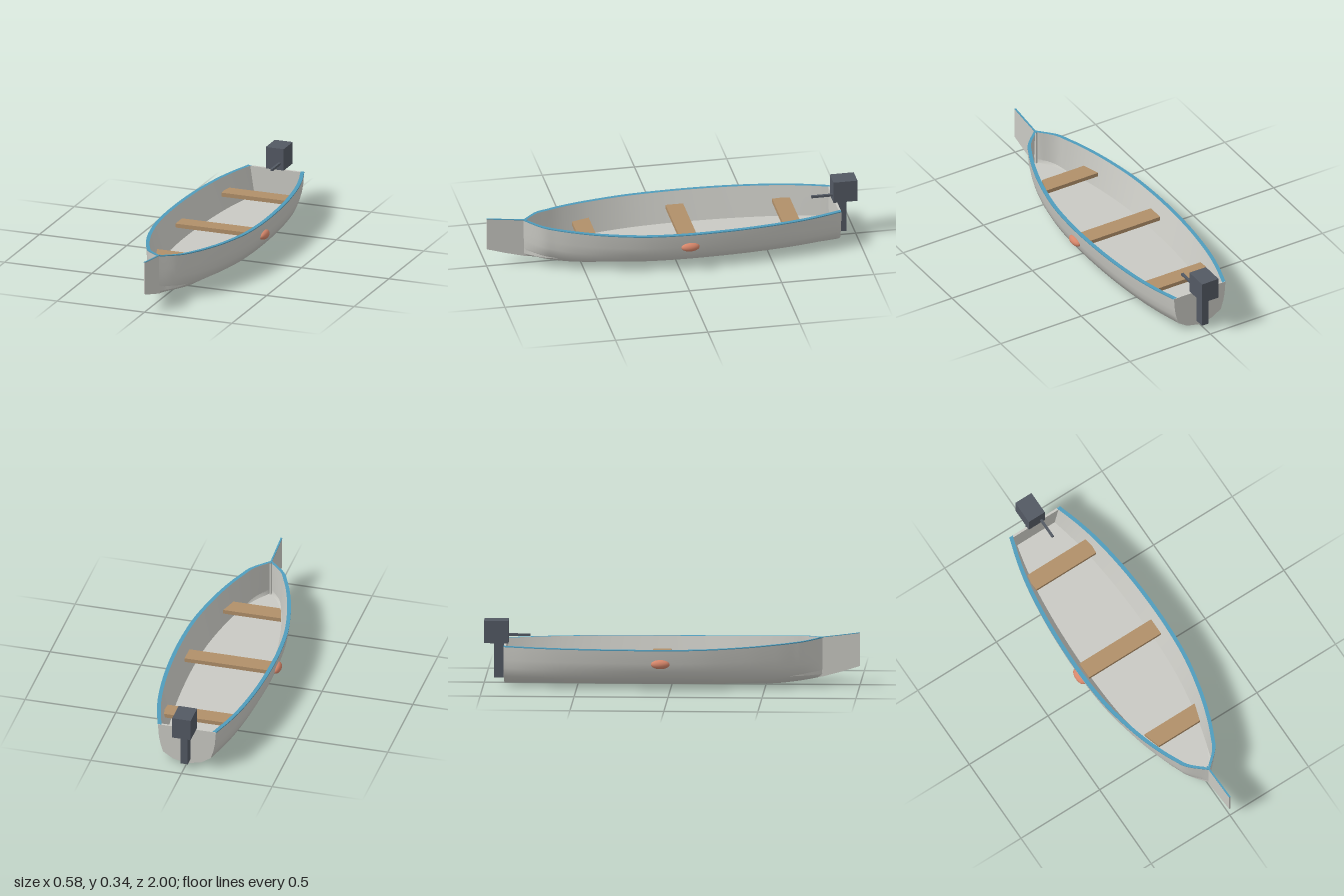
import * as THREE from 'three';

const paint = (name, color, side = THREE.FrontSide) => {
  const m = new THREE.MeshStandardMaterial({ color, side });
  m.name = name;
  return m;
};

export function createModel() {
  const boat = new THREE.Group();
  boat.name = 'boat';
  const hullGrey = paint('hull grey', 0xc9c9c3, THREE.DoubleSide);
  const rimBlue = paint('rim blue', 0x4f9cbc, THREE.DoubleSide);
  const wood = paint('seat wood', 0xb08f69);
  const motorGrey = paint('motor grey', 0x535963);
  const floatOrange = paint('float orange', 0xd6866a);

  const add = (name, geometry, material, x = 0, y = 0, z = 0) => {
    const mesh = new THREE.Mesh(geometry, material);
    mesh.name = name;
    mesh.position.set(x, y, z);
    boat.add(mesh);
    return mesh;
  };

  // Stations along the boat: z, half beam, rim height, keel height
  const stations = [
    [-0.89, 0.16, 0.22, 0.003], [-0.75, 0.203, 0.22, 0.003], [-0.6, 0.236, 0.22, 0.003],
    [-0.4, 0.262, 0.22, 0.003], [-0.2, 0.274, 0.22, 0.003], [0, 0.274, 0.22, 0.003],
    [0.2, 0.258, 0.223, 0.003], [0.4, 0.217, 0.23, 0.004], [0.55, 0.17, 0.238, 0.008],
    [0.65, 0.128, 0.244, 0.019], [0.72, 0.09, 0.25, 0.03], [0.8, 0.004, 0.257, 0.046],
  ];
  const rimCurve = new THREE.CatmullRomCurve3(
    stations.map(([z, b, s]) => new THREE.Vector3(b, s, z)), false, 'catmullrom');
  const keelCurve = new THREE.CatmullRomCurve3(
    stations.map(([z, , , k]) => new THREE.Vector3(0, k, z)), false, 'catmullrom');

  // Skin a row of cross-sections; section(beam, rim, keel) gives [x, y] points
  const loft = (section, steps = 66) => {
    const pos = [], idx = [];
    let n = 0;
    for (let i = 0; i <= steps; i++) {
      const r = rimCurve.getPoint(i / steps), k = keelCurve.getPoint(i / steps);
      const pts = section(Math.max(r.x, 0.004), r.y, k.y);
      n = pts.length;
      pts.forEach(([x, y]) => pos.push(x, y, r.z));
    }
    for (let i = 0; i < steps; i++) {
      for (let j = 0; j < n - 1; j++) {
        const a = i * n + j, b = a + n;
        idx.push(a, a + 1, b, b, a + 1, b + 1);
      }
    }
    const g = new THREE.BufferGeometry();
    g.setAttribute('position', new THREE.Float32BufferAttribute(pos, 3));
    g.setIndex(idx);
    g.computeVertexNormals();
    return g;
  };

  // Outer hull: half profile as fractions of beam and depth, mirrored
  const half = [[1, 1], [0.965, 0.66], [0.91, 0.45], [0.82, 0.24], [0.49, 0.08]];
  const profile = [...half, [0, 0], ...half.map(([x, y]) => [-x, y]).reverse()];
  const outer = (b, s, k) => profile.map(([x, y]) => [x * b, k + y * (s - k)]);
  add('outerHull', loft(outer), hullGrey);

  // Inner walls, floor and rim
  const inset = (b) => Math.max(b - 0.02, b * 0.3);
  const floorY = 0.06;
  for (const side of [1, -1]) {
    add('innerWall', loft((b, s) => [[side * inset(b), s], [side * b * 0.73, floorY]]), hullGrey);
    add('rim', loft((b, s) => [
      [side * (b + 0.001), s - 0.004], [side * (b + 0.001), s + 0.001],
    ]), rimBlue);
    add('rimTop', loft((b, s) => [
      [side * (b + 0.001), s + 0.001], [side * inset(b), s + 0.001],
    ]), rimBlue);
  }
  add('floor', loft((b) => [[b * 0.73, floorY], [-b * 0.73, floorY]]), hullGrey);

  // Flat stern board
  const stern = new THREE.Shape(outer(0.16, 0.22, 0.003).map(([x, y]) => new THREE.Vector2(x, y)));
  add('transom', new THREE.ExtrudeGeometry(stern, { depth: 0.012, bevelEnabled: false }),
    hullGrey, 0, 0, -0.891);

  // Thin stem fin ahead of the bow, drawn in (z, y) and turned to lie along z
  const fin = (name, points, width, material) => {
    const shape = new THREE.Shape(points.map(([z, y]) => new THREE.Vector2(z, y)));
    const g = new THREE.ExtrudeGeometry(shape, { depth: width, bevelEnabled: false });
    g.translate(0, 0, -width / 2).rotateY(-Math.PI / 2);
    add(name, g, material);
  };
  fin('stemFin', [[0.78, 0.042], [0.8, 0.046], [0.9, 0.073], [1, 0.104],
    [1, 0.281], [0.9, 0.268], [0.78, 0.254]], 0.008, hullGrey);
  fin('stemFinCap', [[0.78, 0.254], [0.9, 0.268], [1, 0.281],
    [1, 0.284], [0.9, 0.271], [0.78, 0.257]], 0.009, rimBlue);

  // Seats: back z, front z, half width at back and at front
  for (const [z0, z1, w0, w1] of [
    [-0.68, -0.585, 0.197, 0.19], [-0.11, -0.015, 0.228, 0.228], [0.415, 0.512, 0.16, 0.13],
  ]) {
    const shape = new THREE.Shape([
      new THREE.Vector2(-w0, -z0), new THREE.Vector2(-w1, -z1),
      new THREE.Vector2(w1, -z1), new THREE.Vector2(w0, -z0),
    ]);
    const g = new THREE.ExtrudeGeometry(shape, { depth: 0.022, bevelEnabled: false });
    add('seat', g.rotateX(-Math.PI / 2), wood, 0, 0.133, 0);
  }

  // Side floats
  for (const side of [1, -1]) {
    add('sideFloat', new THREE.SphereGeometry(0.025, 24, 16), floatOrange,
      side * 0.265, 0.144, -0.052).scale.z = 2;
  }

  // Outboard motor
  add('motorHead', new THREE.BoxGeometry(0.102, 0.12, 0.13), motorGrey, 0, 0.28, -0.935);
  add('motorLeg', new THREE.BoxGeometry(0.04, 0.19, 0.056), motorGrey, 0, 0.127, -0.919);
  add('tiller', new THREE.BoxGeometry(0.013, 0.012, 0.13), motorGrey, 0.027, 0.256, -0.82);

  return boat;
}
